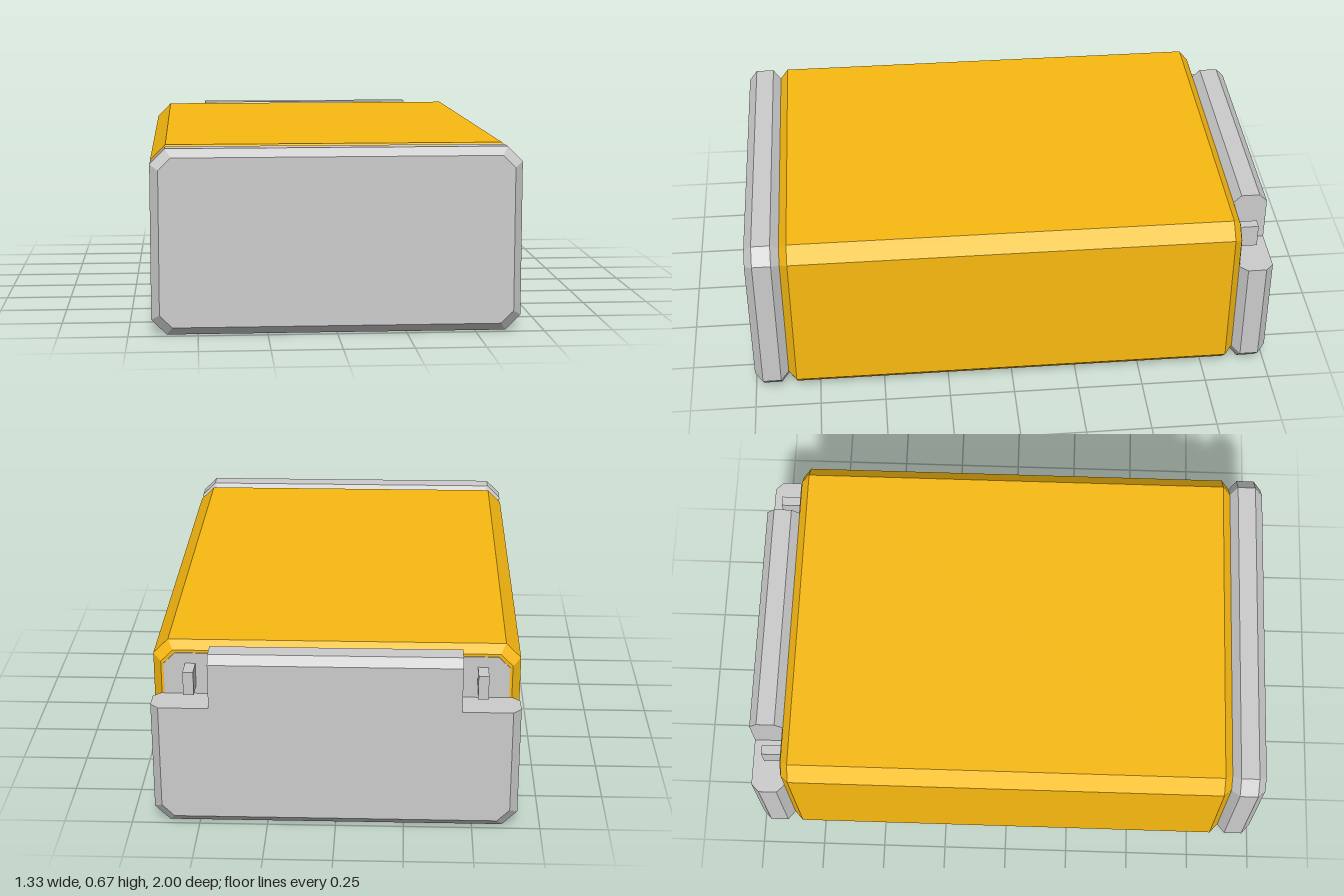
import * as THREE from 'three';

const W = 0.667, H = 0.67, CUT = 0.055, BEVEL = 0.03;
const NOTCH_X = 0.455, NOTCH_Y = 0.47;

const grey = new THREE.MeshStandardMaterial({ color: 0xcccccc, flatShading: true });
const yellow = new THREE.MeshStandardMaterial({ color: 0xf9ba11, flatShading: true });

// Chamfered rectangle, counter-clockwise, shrunk by an inset
function octagon(inset) {
  const x = W - inset, y0 = inset, y1 = H - inset, c = CUT - inset * 0.33;
  return [
    [-x + c, y0], [x - c, y0], [x, y0 + c], [x, y1 - c],
    [x - c, y1], [-x + c, y1], [-x, y1 - c], [-x, y0 + c],
  ];
}

// Same outline with both upper corners cut away in steps
function notchedOutline(inset) {
  const x = W - inset, y0 = inset, y1 = H - inset, c = CUT - inset * 0.33;
  return [
    [-x + c, y0], [x - c, y0], [x, y0 + c], [x, NOTCH_Y],
    [NOTCH_X, NOTCH_Y], [NOTCH_X, y1], [-NOTCH_X, y1], [-NOTCH_X, NOTCH_Y],
    [-x, NOTCH_Y], [-x, y0 + c],
  ];
}

// Closed solid through outlines at rising z; sections are [z, inset]
function loft(outline, sections) {
  const rings = sections.map(([z, inset]) => outline(inset).map(([x, y]) => new THREE.Vector3(x, y, z)));
  const points = [];
  const n = rings[0].length;
  for (let s = 0; s < rings.length - 1; s++) {
    for (let i = 0; i < n; i++) {
      const j = (i + 1) % n;
      const [a, b, c, d] = [rings[s][i], rings[s][j], rings[s + 1][j], rings[s + 1][i]];
      points.push(a, b, c, a, c, d);
    }
  }
  const capEnd = (ring, flip) => {
    const flat = ring.map((p) => new THREE.Vector2(p.x, p.y));
    for (const [a, b, c] of THREE.ShapeUtils.triangulateShape(flat, [])) {
      points.push(ring[a], ring[flip ? c : b], ring[flip ? b : c]);
    }
  };
  capEnd(rings[0], true);
  capEnd(rings[rings.length - 1], false);
  const geometry = new THREE.BufferGeometry().setFromPoints(points);
  geometry.computeVertexNormals();
  return geometry;
}

// Block with both end rims bevelled
const bevelled = (outline, z0, z1) =>
  loft(outline, [[z0, BEVEL], [z0 + BEVEL, 0], [z1 - BEVEL, 0], [z1, BEVEL]]);

export function createModel() {
  const group = new THREE.Group();
  const add = (name, geometry, material) => {
    const mesh = new THREE.Mesh(geometry, material);
    mesh.name = name;
    group.add(mesh);
    return mesh;
  };

  add('body', bevelled(octagon, -0.87, 0.87), yellow);
  add('frontCap', bevelled(octagon, 0.87, 1), grey);
  add('backCap', bevelled(notchedOutline, -1, -0.87), grey);

  // Thin plate behind the notches
  add('endPlate', loft(octagon, [[-0.874, 0.04], [-0.86, 0.04]]), grey);

  // Contact tabs standing in the notches
  for (const [name, side] of [['leftTerminal', 1], ['rightTerminal', -1]]) {
    add(name, new THREE.BoxGeometry(0.038, 0.09, 0.09), grey).position.set(side * 0.53, 0.545, -0.908);
  }
  return group;
}
